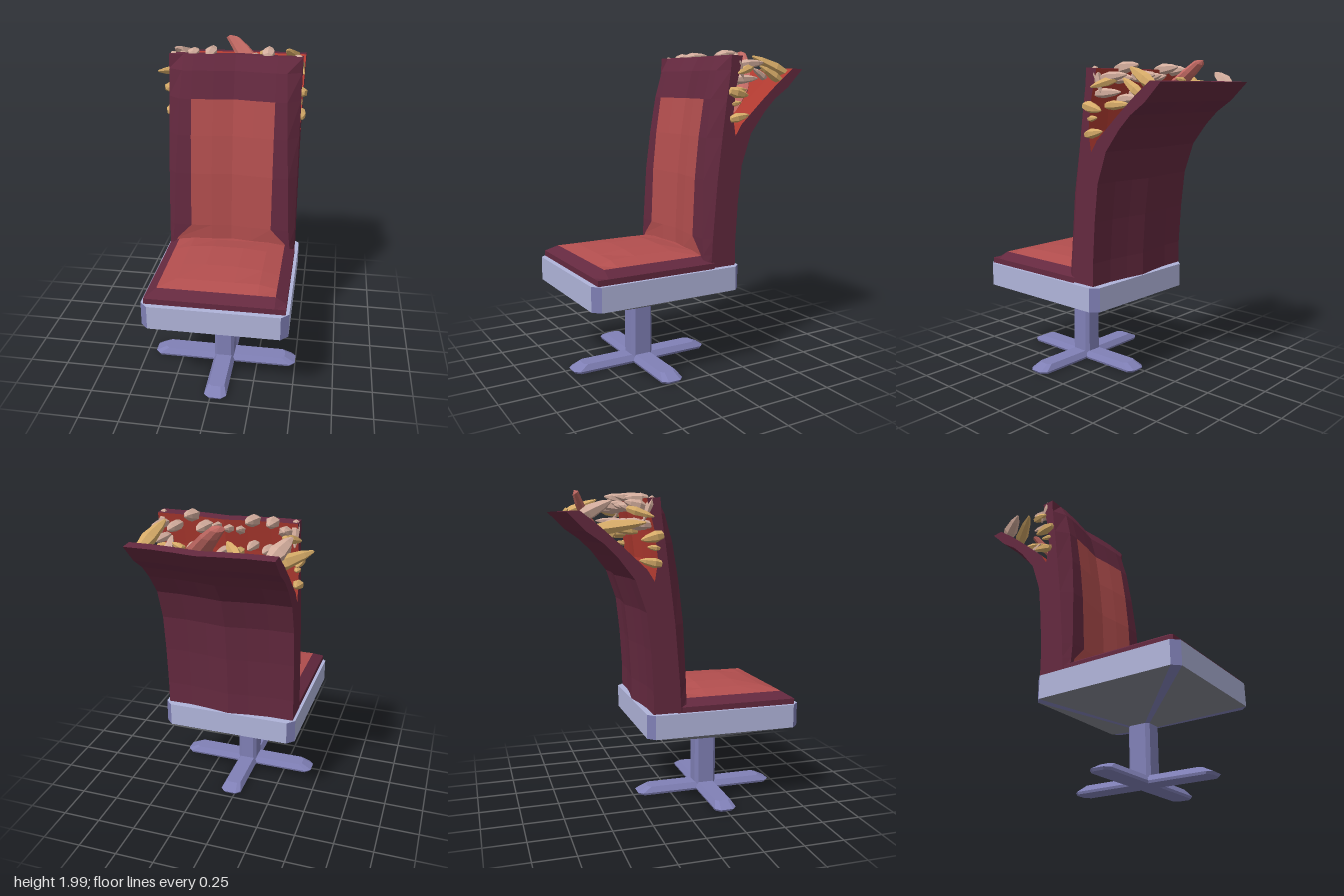
import * as THREE from 'three';

const MAROON = 0x64293f, RED = 0xb24e4e, MOUTH = 0xb03a30, LIGHT = 0xb0b4da, METAL = 0x8080b6,
  GREY = 0x82848f, PINK = 0xd2ac9c, TAN = 0xd6ab68, TONGUE = 0xc06862;

const mat = (color) => new THREE.MeshStandardMaterial({ color, flatShading: true, side: THREE.DoubleSide });

// Skins a grid of points; pick(i, j) gives the colour of each cell
function sheet(name, rows, pick) {
  const byColor = new Map();
  for (let i = 0; i < rows.length - 1; i++) {
    for (let j = 0; j < rows[i].length - 1; j++) {
      const a = rows[i][j], b = rows[i][j + 1], c = rows[i + 1][j + 1], d = rows[i + 1][j];
      const color = pick(i, j);
      if (!byColor.has(color)) byColor.set(color, []);
      byColor.get(color).push(...a, ...b, ...c, ...a, ...c, ...d);
    }
  }
  const group = new THREE.Group();
  group.name = name;
  for (const [color, pos] of byColor) {
    const g = new THREE.BufferGeometry();
    g.setAttribute('position', new THREE.Float32BufferAttribute(pos, 3));
    g.computeVertexNormals();
    const mesh = new THREE.Mesh(g, mat(color));
    mesh.name = name;
    group.add(mesh);
  }
  return group;
}

// Closed rectangle ring with cut corners, around the pedestal axis
function ring(y, hx, hz, c) {
  const p = [[-hx + c, hz], [hx - c, hz], [hx, hz - c], [hx, c - hz],
    [hx - c, -hz], [c - hx, -hz], [-hx, c - hz], [-hx, hz - c]];
  return [...p, p[0]].map(([x, z]) => [0.03 + x, y, 0.25 + z]);
}

function createPedestal() {
  const group = new THREE.Group();
  group.name = 'pedestal';
  group.add(sheet('seatFrame', [ring(0.01, 0.065, 0.073, 0.02), ring(0.36, 0.065, 0.073, 0.02),
    ring(0.505, 0.44, 0.5, 0.045), ring(0.655, 0.44, 0.5, 0.045), ring(0.655, 0, 0, 0)],
  (i, j) => (i === 0 || (j % 2 && i < 3) ? METAL : i === 1 ? GREY : LIGHT)));
  // Crossed feet
  for (const s of [0, 1]) {
    const bar = (y, l, w, c) => (s ? ring(y, l, w, c) : ring(y, w, l, c));
    group.add(sheet('foot', [ring(0, 0, 0, 0), bar(0, 0.46, 0.065, 0.03), bar(0.015, 0.47, 0.07, 0.03),
      bar(0.05, 0.4, 0.05, 0.02), ring(0.05, 0, 0, 0)], () => METAL));
  }
  return group;
}

function createSeat() {
  const cols = [[-0.42, 0.655], [-0.42, 0.69], [-0.355, 0.73], [-0.25, 0.757], [-0.1, 0.773],
    [0.1, 0.773], [0.25, 0.757], [0.355, 0.73], [0.42, 0.69], [0.42, 0.655]];
  const rows = [[0.717, 0.655], [0.717, 0.69], [0.65, 0.73], [0.56, 0.752], [0.4, 0.77],
    [0.15, 0.77], [0, 0.742], [-0.06, 0.74]];
  return sheet('seatCushion',
    rows.map(([z, ry]) => cols.map(([x, cy]) => [0.03 + x, Math.min(ry, cy), z])),
    (i, j) => (i >= 2 && j >= 2 && j <= 6 ? RED : MAROON));
}

function createBackrest() {
  const group = new THREE.Group();
  group.name = 'backrest';
  // Loop of the side profile: z, y, edge set-back, bevel half width, panel half width
  const profile = [
    [0, 0.66, 0.04, 0.4, 0.385], [0, 0.74, 0.045, 0.39, 0.36], [0, 0.84, 0.05, 0.38, 0.265],
    [-0.015, 1.2, 0.065, 0.365, 0.265], [-0.04, 1.45, 0.07, 0.35, 0.265],
    [-0.075, 1.68, 0.065, 0.34, 0.265], [-0.12, 1.85, 0.045, 0.33, 0.265],
    [-0.17, 1.94], [-0.25, 1.935], [-0.205, 1.75], [-0.185, 1.58], [-0.205, 1.46],
    [-0.25, 1.53], [-0.4, 1.67], [-0.52, 1.775], [-0.635, 1.865], [-0.71, 1.86],
    [-0.6, 1.75], [-0.5, 1.68], [-0.42, 1.6], [-0.32, 1.47], [-0.255, 1.28],
    [-0.23, 1.05], [-0.215, 0.8], [-0.215, 0.66], [0, 0.66, 0.04, 0.4, 0.385],
  ];
  // A shallow crease runs down the middle
  const crease = (d) => 0.035 * Math.max(0, 1 - Math.abs(d) / 0.22);
  const rows = profile.map(([z, y, back = 0, hb = 0.33, hp = 0.265]) =>
    [-0.42, -hb, -hp, -0.13, 0, 0.13, hp, hb, 0.42].map((d) =>
      [0.025 + d, y, z - crease(d) - (Math.abs(d) === 0.42 ? back : 0)]));
  group.add(sheet('backrestShell', rows, (i, j) => {
    if (i < 5 && j >= 2 && j <= 5) return RED;
    return i >= 8 && i <= 14 ? MOUTH : MAROON;
  }));
  // Side faces
  const shape = new THREE.Shape(rows.slice(0, -1).map((r) => new THREE.Vector2(-r[0][2], r[0][1])));
  for (const x of [-0.395, 0.445]) {
    const side = new THREE.Mesh(new THREE.ShapeGeometry(shape).rotateY(Math.PI / 2), mat(MAROON));
    side.position.x = x;
    side.name = 'backrestSide';
    group.add(side);
  }
  return group;
}

function createTongue() {
  // Centre x, y, z, half width, half thickness
  const stations = [[0.15, 1.52, -0.26, 0.12, 0.04], [0.16, 1.64, -0.36, 0.11, 0.04],
    [0.14, 1.74, -0.45, 0.09, 0.035], [0.08, 1.83, -0.52, 0.075, 0.03],
    [0, 1.92, -0.575, 0.06, 0.028], [-0.05, 1.97, -0.6, 0.045, 0.022], [-0.07, 1.985, -0.612, 0.001, 0.001]];
  return sheet('tongue', stations.map(([x, y, z, w, t]) =>
    Array.from({ length: 9 }, (_, k) => {
      const a = (k / 8) * Math.PI * 2, s = t * Math.sin(a);
      return [x + w * Math.cos(a), y + s * 0.65, z + s * 0.75];
    })), () => TONGUE);
}

function createTeeth() {
  const group = new THREE.Group();
  group.name = 'teeth';
  let seed = 7;
  const rnd = () => ((seed = (seed * 16807) % 2147483647) / 2147483647) - 0.5;
  const geo = new THREE.LatheGeometry([[0, 0], [0.7, 0.06], [1, 0.35], [0.65, 0.75], [0.2, 0.97], [0, 1]]
    .map(([x, y]) => new THREE.Vector2(x, y)), 6);
  const up = new THREE.Vector3(0, 1, 0);
  const tooth = (color, base, tip, r) => {
    const b = new THREE.Vector3(...base), d = new THREE.Vector3(...tip).sub(b);
    const m = new THREE.Mesh(geo, mat(color));
    m.name = 'tooth';
    m.position.copy(b);
    m.scale.set(r, d.length(), r * 0.85);
    m.quaternion.setFromUnitVectors(up, d.normalize());
    group.add(m);
  };
  // Upper row along the front lip: x, height, start z, end z, radius
  for (const [x, y, z0, z1, r] of [[-0.33, 1.88, -0.24, -0.37, 0.042], [-0.25, 1.93, -0.2, -0.35, 0.042],
    [-0.145, 1.93, -0.2, -0.38, 0.043], [-0.07, 1.87, -0.24, -0.34, 0.03], [-0.01, 1.88, -0.25, -0.36, 0.03],
    [0.06, 1.89, -0.24, -0.36, 0.026], [0.125, 1.89, -0.24, -0.42, 0.045], [0.225, 1.93, -0.2, -0.37, 0.045],
    [0.31, 1.88, -0.24, -0.41, 0.04], [0.395, 1.88, -0.24, -0.44, 0.036]]) {
    tooth(PINK, [x, y, z0], [x + rnd() * 0.03, y + 0.02 + rnd() * 0.04, z1], r);
  }
  // Lower row inside the front wall
  for (let k = 0; k < 9; k++) {
    const x = -0.34 + k * 0.092 + rnd() * 0.03, y = 1.76 + rnd() * 0.08;
    tooth(k % 4 === 3 ? TAN : PINK, [x, y, -0.2], [x + rnd() * 0.04, y + 0.01, -0.37 + rnd() * 0.08], 0.034);
  }
  // Teeth along both open sides of the mouth
  for (const x of [-0.395, 0.44]) {
    const s = Math.sign(x);
    tooth(TAN, [x, 1.73, -0.15], [x + s * 0.012, 1.7, -0.29], 0.04);
    tooth(TAN, [x - s * 0.01, 1.65, -0.17], [x, 1.66, -0.25], 0.022);
    tooth(TAN, [x, 1.56, -0.16], [x + s * 0.01, 1.585, -0.3], 0.035);
    tooth(TAN, [x - s * 0.05, 1.88, -0.36], [x + s * 0.015, 1.83, -0.21], 0.032);
    tooth(PINK, [x - s * 0.02, 1.95, -0.21], [x - s * 0.01, 1.8, -0.27], 0.026);
  }
  // Scattered teeth on the rear flap
  tooth(PINK, [-0.34, 1.83, -0.63], [-0.42, 1.92, -0.46], 0.05);
  tooth(TAN, [-0.3, 1.76, -0.55], [-0.5, 1.8, -0.28], 0.045);
  tooth(TAN, [-0.17, 1.82, -0.61], [-0.06, 1.87, -0.48], 0.036);
  tooth(PINK, [-0.18, 1.74, -0.54], [-0.19, 1.8, -0.44], 0.024);
  tooth(TAN, [0.13, 1.86, -0.635], [0.2, 1.88, -0.62], 0.02);
  tooth(PINK, [0.25, 1.79, -0.59], [0.27, 1.87, -0.45], 0.028);
  tooth(TAN, [0.39, 1.83, -0.63], [0.33, 1.94, -0.4], 0.045);
  tooth(TAN, [0.42, 1.78, -0.57], [0.4, 1.88, -0.41], 0.036);
  tooth(TAN, [0.03, 1.66, -0.43], [0.02, 1.76, -0.33], 0.03);
  return group;
}

export function createModel() {
  const model = new THREE.Group();
  model.name = 'monsterChair';
  model.add(createPedestal(), createSeat(), createBackrest(), createTongue(), createTeeth());
  return model;
}
